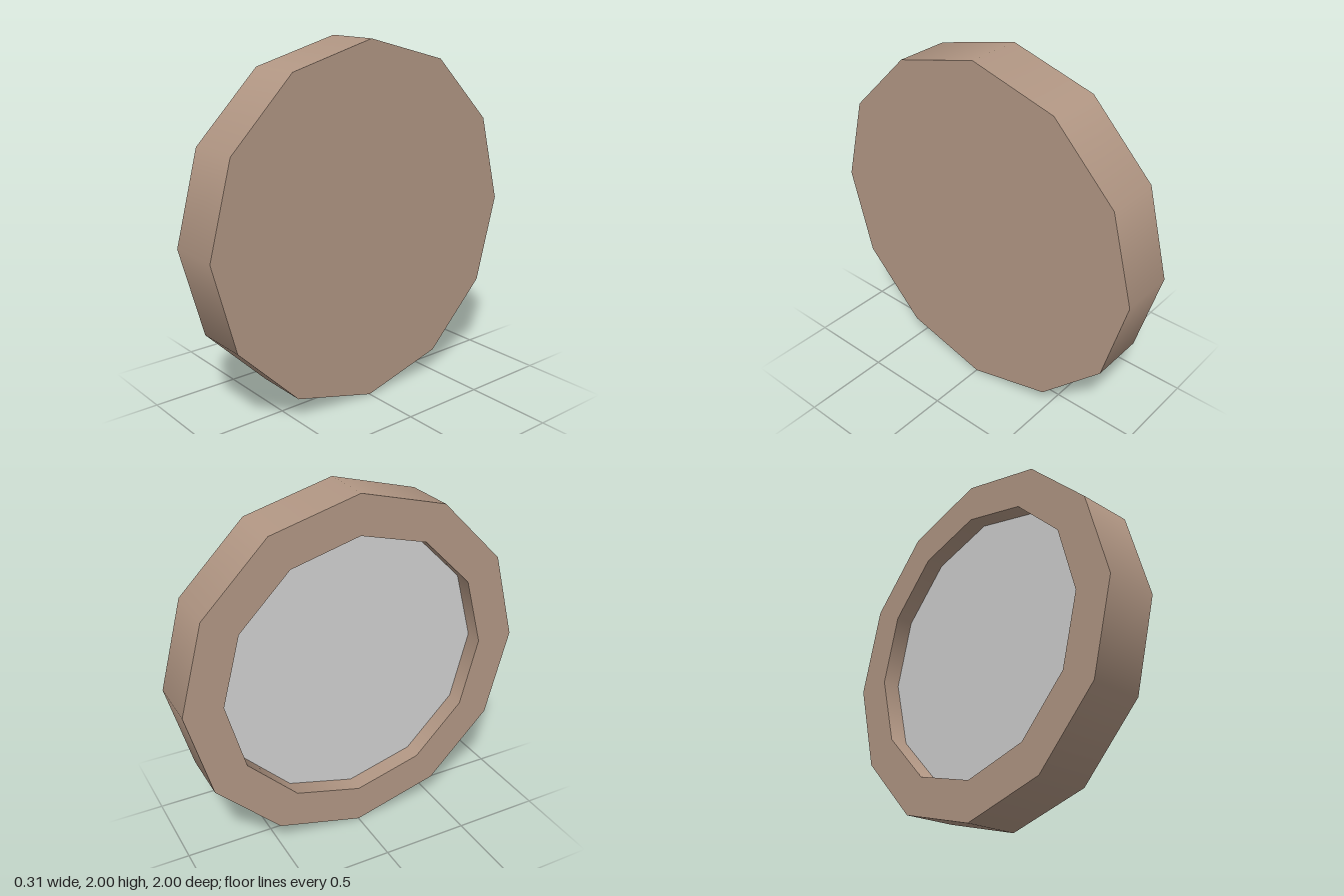
import * as THREE from 'three';

const SIDES = 12;
const RADIUS = 1, INNER = 0.78, HALF = 0.157, DEPTH = 0.103;

export function createModel() {
  const brown = new THREE.MeshStandardMaterial({ color: 0xb29784 });
  brown.name = 'warm brown';
  const grey = new THREE.MeshStandardMaterial({ color: 0xd0d0d0 });
  grey.name = 'light grey';

  const model = new THREE.Group();
  model.name = 'recessedDisc';

  // One ring of faces turned about the x axis; separate rings keep the edges sharp
  const band = (name, material, r0, x0, r1, x1) => {
    const profile = [new THREE.Vector2(r0, x0), new THREE.Vector2(r1, x1)];
    const geometry = new THREE.LatheGeometry(profile, SIDES);
    geometry.rotateZ(-Math.PI / 2);
    geometry.translate(0, RADIUS, 0);
    const mesh = new THREE.Mesh(geometry, material);
    mesh.name = name;
    model.add(mesh);
  };

  // Profile runs from the recess floor, round the rim, to the closed face
  const floor = -HALF + DEPTH;
  band('recessFloor', grey, 0, floor, INNER, floor);
  band('recessWall', brown, INNER, floor, INNER, -HALF);
  band('rimFace', brown, INNER, -HALF, RADIUS, -HALF);
  band('outerWall', brown, RADIUS, -HALF, RADIUS, HALF);
  band('closedFace', brown, RADIUS, HALF, 0, HALF);

  return model;
}
